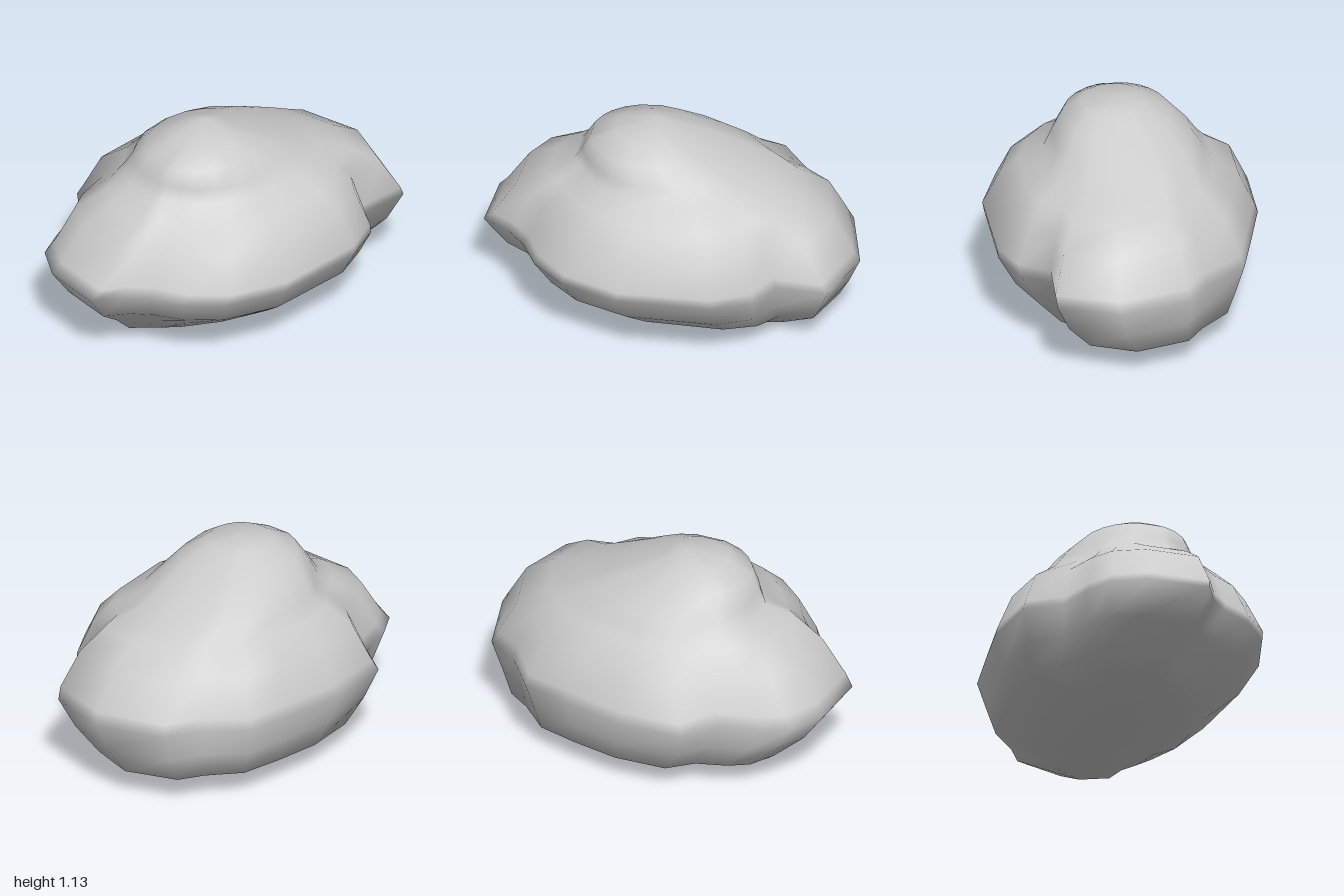
import * as THREE from 'three';

// Plan outline of the boulder at its widest, [x, z]
const OUTLINE = [
  [-1, -0.11], [-0.92, -0.3], [-0.79, -0.39], [-0.58, -0.47], [-0.47, -0.66],
  [-0.12, -0.72], [0.2, -0.69], [0.48, -0.66], [0.67, -0.47], [0.85, -0.39], [1, -0.03],
  [0.93, 0.31], [0.66, 0.34], [0.59, 0.51], [0.4, 0.63], [-0.1, 0.715],
  [-0.42, 0.65], [-0.61, 0.52], [-0.72, 0.37], [-0.83, 0.28], [-0.98, 0.22],
];

// Level cuts: [y, xMin, xMax, zMin, zMax, roundness of the outline]
const LEVELS = [
  [0.05, -0.65, 0.68, -0.36, 0.27, 0.6],
  [0.145, -0.74, 0.86, -0.62, 0.44, 0.3],
  [0.28, -0.89, 0.93, -0.67, 0.61, 0.1],
  [0.44, -1, 1, -0.72, 0.71, 0],
  [0.5, -0.95, 0.97, -0.7, 0.72, 0],
  [0.69, -0.83, 0.86, -0.62, 0.63, 0.15],
  [0.79, -0.67, 0.7, -0.49, 0.53, 0.4],
  [0.86, -0.54, 0.54, -0.44, 0.4, 0.7],
  [0.93, -0.5, 0.39, -0.38, 0.36, 0.9],
  [1.02, -0.45, 0.2, -0.27, 0.3, 1],
  [1.085, -0.32, 0.03, -0.14, 0.2, 1],
];

function boulderGeometry() {
  const n = OUTLINE.length;
  const positions = [];
  const index = [];

  // Fit the outline into each level, softening its notches towards an ellipse
  for (const [y, x0, x1, z0, z1, round] of LEVELS) {
    for (const [ox, oz] of OUTLINE) {
      const u = ox, v = oz / 0.72;
      const k = THREE.MathUtils.lerp(1, 1 / Math.hypot(u, v), round);
      positions.push(
        (x0 + x1) / 2 + (u * k * (x1 - x0)) / 2,
        y,
        (z0 + z1) / 2 + (v * k * (z1 - z0)) / 2,
      );
    }
  }
  const bottom = LEVELS.length * n;
  const top = bottom + 1;
  positions.push(-0.1, 0, -0.03, -0.1, 1.13, -0.02);

  // Skin between the levels, closed by a fan at each end
  const last = (LEVELS.length - 1) * n;
  for (let i = 0; i < n; i++) {
    const j = (i + 1) % n;
    for (let r = 0; r < last; r += n) {
      index.push(r + i, r + n + i, r + j, r + j, r + n + i, r + n + j);
    }
    index.push(bottom, i, j, last + i, top, last + j);
  }

  const geometry = new THREE.BufferGeometry();
  geometry.setAttribute('position', new THREE.Float32BufferAttribute(positions, 3));
  geometry.setIndex(index);
  geometry.computeVertexNormals();
  return geometry;
}

export function createModel() {
  const group = new THREE.Group();
  group.name = 'rock';
  const boulder = new THREE.Mesh(
    boulderGeometry(),
    new THREE.MeshStandardMaterial({ color: 0xcccccc }),
  );
  boulder.name = 'boulder';
  group.add(boulder);
  return group;
}
